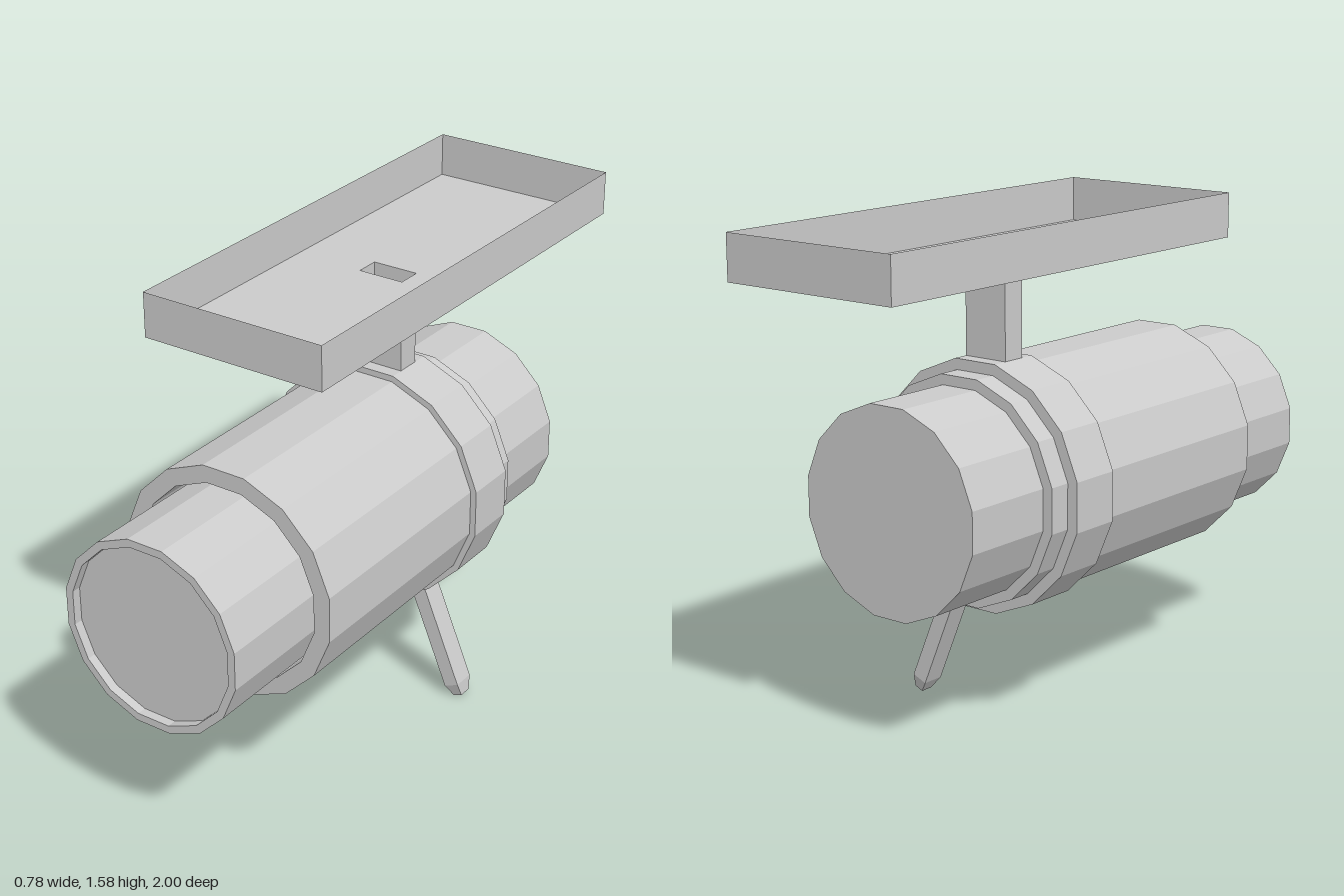
import * as THREE from 'three';

const SIDES = 16;
const FLAT = 1 / Math.cos(Math.PI / SIDES); // flat-to-flat radius -> corner radius

const material = new THREE.MeshStandardMaterial({
  color: 0xcccccc, flatShading: true, side: THREE.DoubleSide,
});

function add(group, name, geometry, x = 0, y = 0, z = 0) {
  const mesh = new THREE.Mesh(geometry, material);
  mesh.name = name;
  mesh.position.set(x, y, z);
  group.add(mesh);
  return mesh;
}

// Sixteen-sided turned part along z; profile is [radius to flat, z], back to front
function turned(profile) {
  const points = profile.map(([r, z]) => new THREE.Vector2(r * FLAT, z));
  return new THREE.LatheGeometry(points, SIDES, Math.PI / SIDES).rotateX(Math.PI / 2);
}

// Four-sided open sleeve with the given widths, centred on the origin
function sleeve(w, h, d, taper = 1, open = true) {
  const r = Math.SQRT1_2;
  return new THREE.CylinderGeometry(r, r * taper, 1, 4, 1, open)
    .rotateY(Math.PI / 4).scale(w, h, d);
}

export function createModel() {
  const model = new THREE.Group();
  model.name = 'mountedTube';

  // Main barrel with collar and stepped rear, socketed at the front
  add(model, 'barrel', turned([
    [0, -0.69], [0.323, -0.69], [0.323, -0.37],
    [0.356, -0.37], [0.356, -0.295],
    [0.391, -0.295], [0.391, -0.12],
    [0.371, -0.12], [0.371, 0.64],
    [0.316, 0.64], [0.316, 0.3], [0, 0.3],
  ]), 0, 0.75);

  // Front nozzle with a recessed lens
  add(model, 'nozzle', turned([
    [0.305, 0.3], [0.305, 1], [0.28, 1], [0.28, 0.97],
  ]), 0, 0.746);
  add(model, 'lens', turned([[0.28, 0.97], [0, 0.97]]), 0, 0.746);

  // Open tray: thin walls and a floor with a slot over the hollow post
  const trayW = 0.625, trayD = 1.587, trayZ = -0.2065, floorY = 1.442, trayH = 0.143;
  const postW = 0.155, postD = 0.08, postZ = -0.205;
  const rect = (path, w, d, cy) => {
    path.moveTo(-w / 2, cy - d / 2);
    path.lineTo(w / 2, cy - d / 2);
    path.lineTo(w / 2, cy + d / 2);
    path.lineTo(-w / 2, cy + d / 2);
    path.closePath();
    return path;
  };
  const floor = rect(new THREE.Shape(), trayW, trayD, -trayZ);
  floor.holes.push(rect(new THREE.Path(), postW, postD, -postZ));
  add(model, 'trayFloor', new THREE.ShapeGeometry(floor).rotateX(-Math.PI / 2), 0, floorY);
  add(model, 'trayWalls', sleeve(trayW, trayH, trayD), 0, floorY + trayH / 2, trayZ);
  add(model, 'post', sleeve(postW, floorY - 1.14, postD), 0, (floorY + 1.14) / 2, postZ);

  // Slanted lever pointing radially out of the collar, with a tapered tip
  const lever = new THREE.Group();
  lever.name = 'lever';
  lever.position.set(0, 0.75, -0.203);
  lever.rotation.z = Math.PI / 8;
  add(lever, 'leverShaft', sleeve(0.053, 0.4, 0.076), 0, -0.56);
  add(lever, 'leverTip', sleeve(0.053, 0.045, 0.076, 0.58, false), 0, -0.7825);
  model.add(lever);

  return model;
}
